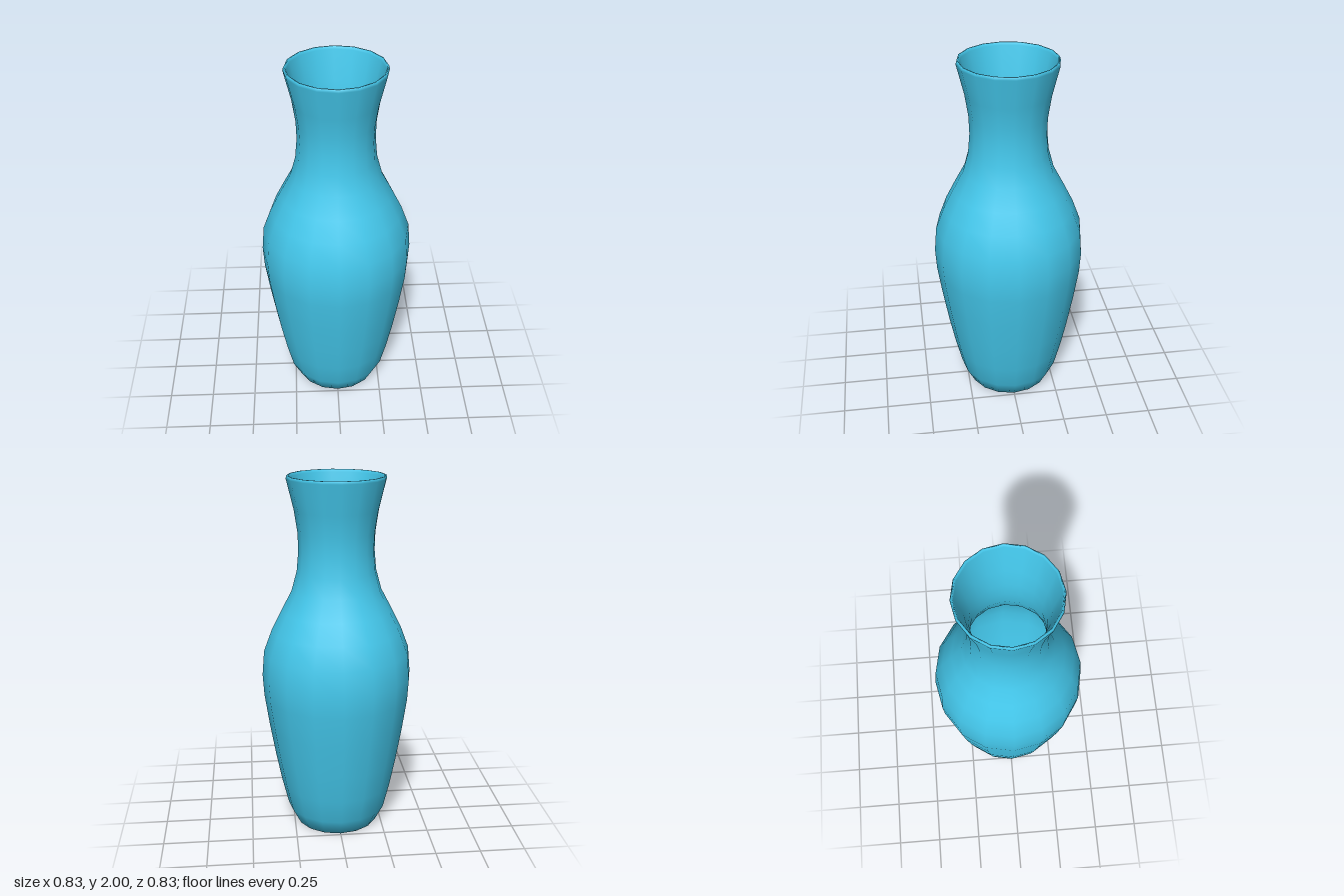
import * as THREE from 'three';

export function createModel() {
  const group = new THREE.Group();
  group.name = 'vase';
  const material = new THREE.MeshStandardMaterial({ color: 0x44c8ec });

  // Outer wall, from foot to lip: [radius, height]
  const outer = [
    [0.235, 0], [0.283, 0.095], [0.318, 0.24], [0.35, 0.4], [0.384, 0.6],
    [0.41, 0.78], [0.417, 0.9], [0.405, 1.04], [0.36, 1.16], [0.305, 1.27],
    [0.247, 1.38], [0.217, 1.49], [0.207, 1.6], [0.21, 1.7], [0.228, 1.82],
    [0.268, 1.985],
  ];

  // Inner wall follows the outer one at a constant thickness
  const thickness = 0.016;
  const inner = outer.slice(1).reverse().map(([r, y]) => [r - thickness, y]);

  const profile = [
    [0, 0], ...outer,
    [0.264, 2], [0.256, 2], // rounded lip
    ...inner,
    [0.225, 0.025], [0, 0.02], // floor
  ].map(([r, y]) => new THREE.Vector2(r, y));

  const body = new THREE.Mesh(new THREE.LatheGeometry(profile, 16), material);
  body.name = 'body';
  group.add(body);
  return group;
}
